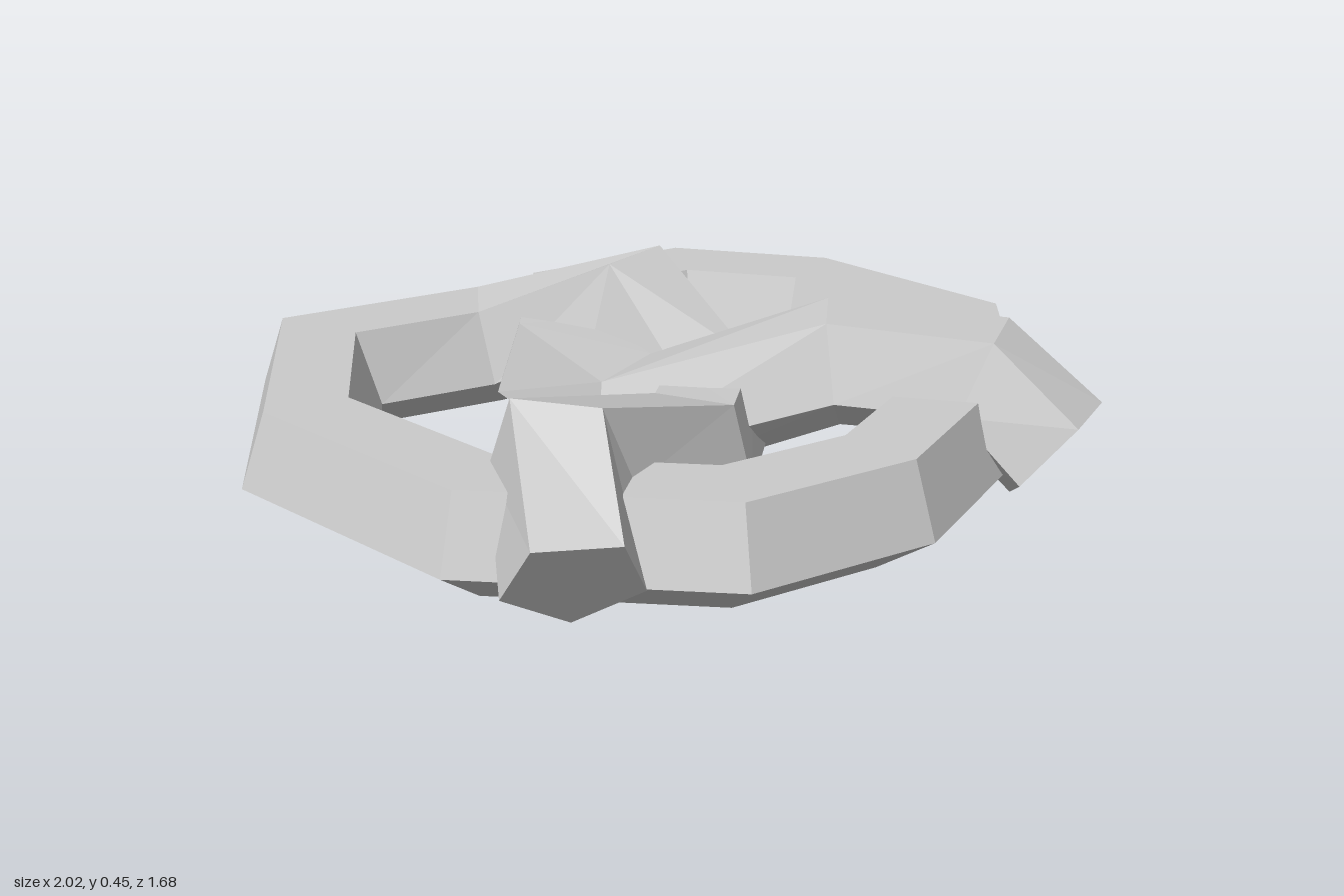
import * as THREE from 'three';

// Centre line of the dough rope: x, y, z at every bend
const PATH = [
  [-0.63, 0.15, 0.68], [-0.53, 0.32, 0.44], [-0.1, 0.17, 0.27], [0.11, 0.16, 0.02],
  [0.11, 0.32, -0.34], [-0.15, 0.16, -0.65], [-0.61, 0.16, -0.68], [-0.845, 0.16, -0.19],
  [-0.69, 0.16, 0.36], [-0.255, 0.16, 0.69], [0.125, 0.16, 0.69], [0.62, 0.16, 0.4],
  [0.85, 0.16, 0.055], [0.715, 0.16, -0.425], [0.455, 0.16, -0.675], [0.1, 0.16, -0.68],
  [-0.08, 0.16, -0.4], [-0.1, 0.17, 0.02], [0.31, 0.31, 0.25], [0.56, 0.3, 0.49],
  [0.66, 0.15, 0.65],
].map((p) => new THREE.Vector3(...p));

const SIDES = 5;
const RADIUS = 0.16;

// Pentagon section with its point down, mitred at each bend
function section(i) {
  const p = PATH[i];
  const before = p.clone().sub(PATH[Math.max(i - 1, 0)]).normalize();
  const after = PATH[Math.min(i + 1, PATH.length - 1)].clone().sub(p).normalize();
  const tangent = before.clone().add(after).normalize();
  const side = new THREE.Vector3(-tangent.z, 0, tangent.x).normalize();
  const up = side.clone().cross(tangent).normalize();

  // Widen the section sideways so the rope keeps its thickness round the bend
  const a = new THREE.Vector2(before.x, before.z).normalize();
  const b = new THREE.Vector2(after.x, after.z).normalize();
  const inner = i > 0 && i < PATH.length - 1;
  const mitre = inner ? Math.min(1.35, 1 / Math.sqrt((1 + a.dot(b)) / 2)) : 1;

  return Array.from({ length: SIDES }, (_, k) => {
    const angle = -Math.PI / 2 + (k / SIDES) * Math.PI * 2;
    return p.clone()
      .addScaledVector(side, Math.cos(angle) * RADIUS * mitre)
      .addScaledVector(up, Math.sin(angle) * RADIUS);
  });
}

function ropeGeometry() {
  const rings = PATH.map((_, i) => section(i));
  const positions = [];
  const tri = (a, b, c) => [a, b, c].forEach((v) => positions.push(v.x, v.y, v.z));

  // Walls between neighbouring sections
  for (let i = 0; i < rings.length - 1; i++) {
    for (let k = 0; k < SIDES; k++) {
      const n = (k + 1) % SIDES;
      tri(rings[i][k], rings[i + 1][k], rings[i + 1][n]);
      tri(rings[i][k], rings[i + 1][n], rings[i][n]);
    }
  }

  // Flat caps on both ends
  const first = rings[0];
  const last = rings[rings.length - 1];
  for (let k = 1; k < SIDES - 1; k++) {
    tri(first[0], first[k], first[k + 1]);
    tri(last[0], last[k + 1], last[k]);
  }

  const geometry = new THREE.BufferGeometry();
  geometry.setAttribute('position', new THREE.Float32BufferAttribute(positions, 3));
  geometry.computeVertexNormals();
  return geometry;
}

export function createModel() {
  const group = new THREE.Group();
  group.name = 'pretzel';
  const material = new THREE.MeshStandardMaterial({
    color: 0xcccccc, flatShading: true, side: THREE.DoubleSide,
  });
  const rope = new THREE.Mesh(ropeGeometry(), material);
  rope.name = 'doughRope';
  group.add(rope);
  return group;
}
